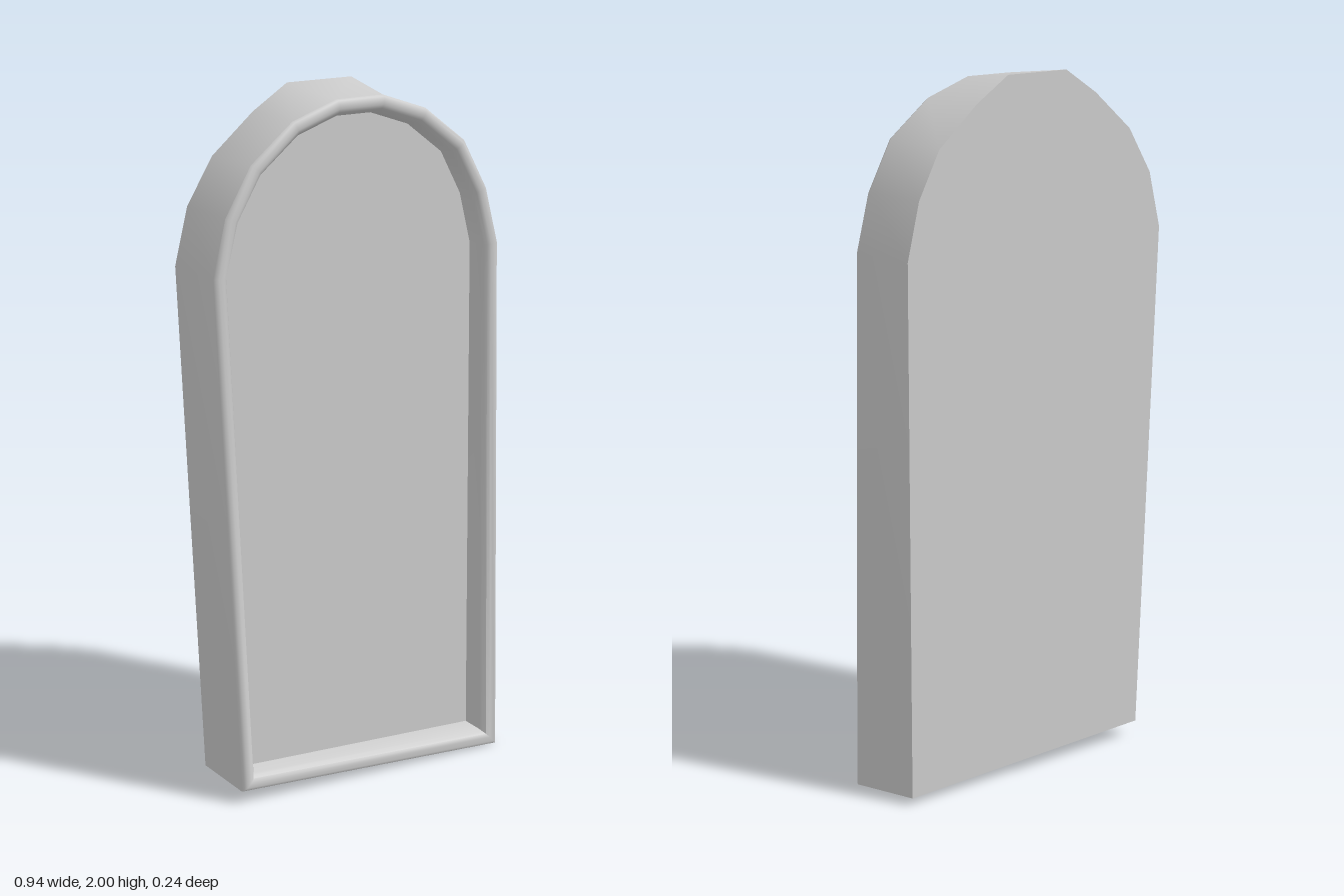
import * as THREE from 'three';
import { toCreasedNormals } from 'three/addons/utils/BufferGeometryUtils.js';

// Arched slab outlines, counter-clockwise seen from the front
const FRONT = [
  [-0.4, 0.045], [0.465, 0.005], [0.455, 1.53], [0.415, 1.69], [0.34, 1.83], [0.21, 1.93],
  [0.07, 1.978], [-0.08, 1.978], [-0.22, 1.93], [-0.35, 1.825], [-0.43, 1.69], [-0.47, 1.53],
];
const BACK = [
  [-0.4, 0.052], [0.45, 0.027], [0.45, 1.53], [0.41, 1.69], [0.34, 1.82], [0.21, 1.93],
  [0.1, 2], [-0.11, 2], [-0.22, 1.93], [-0.35, 1.82], [-0.43, 1.69], [-0.47, 1.53],
];
const BACK_Z = -0.12;
const FLOOR_Z = 0.035;

// Front surface leans forward towards its lower left corner
const frontZ = (x, y) => 0.095 + 0.025 * (1 - y / 2) * ((x + 0.45) / 0.9);

// Shrink an outline by a constant distance with mitred corners
function inset(outline, d) {
  const n = outline.length;
  const normal = (a, b) => new THREE.Vector2(a[1] - b[1], b[0] - a[0]).normalize();
  return outline.map((p, i) => {
    const n1 = normal(outline[(i + n - 1) % n], p);
    const n2 = normal(p, outline[(i + 1) % n]);
    const k = d / (1 + n1.dot(n2));
    return [p[0] + (n1.x + n2.x) * k, p[1] + (n1.y + n2.y) * k];
  });
}

// Skin between successive rings, optionally capping the first and last
function skin(rings, capFirst, capLast) {
  const n = rings[0].length;
  const pos = rings.flat(2);
  const index = [];
  for (let r = 0; r < rings.length - 1; r++) {
    for (let i = 0; i < n; i++) {
      const j = (i + 1) % n;
      const a = r * n + i, b = r * n + j, c = a + n, d = b + n;
      index.push(a, b, d, a, d, c);
    }
  }
  const last = (rings.length - 1) * n;
  for (let i = 1; i < n - 1; i++) {
    if (capFirst) index.push(0, i + 1, i);
    if (capLast) index.push(last, last + i, last + i + 1);
  }
  const geo = new THREE.BufferGeometry();
  geo.setAttribute('position', new THREE.Float32BufferAttribute(pos, 3));
  geo.setIndex(index);
  return toCreasedNormals(geo, 0.85);
}

export function createModel() {
  const group = new THREE.Group();
  group.name = 'archedSlab';
  const material = new THREE.MeshStandardMaterial({ color: 0xcccccc });
  const add = (name, geo) => {
    const mesh = new THREE.Mesh(geo, material);
    mesh.name = name;
    group.add(mesh);
  };

  const rimRing = (d, drop) => inset(FRONT, d).map(([x, y]) => [x, y, frontZ(x, y) - drop]);
  const backRing = BACK.map(([x, y]) => [x, y, BACK_Z]);
  const floorRing = inset(FRONT, 0.054).map(([x, y]) => [x, y, FLOOR_Z]);

  // Back and outer walls
  add('body', skin([backRing, rimRing(0, 0.012)], true, false));

  // Rounded raised border and the wall dropping to the recess
  const profile = [[0, 0.012], [0.004, 0.004], [0.012, 0], [0.026, 0], [0.036, 0.006], [0.041, 0.016], [0.046, 0.022]];
  add('rim', skin([...profile.map(([d, drop]) => rimRing(d, drop)), floorRing], false, false));

  // Flat recessed panel
  add('panel', skin([floorRing], false, true));

  return group;
}
